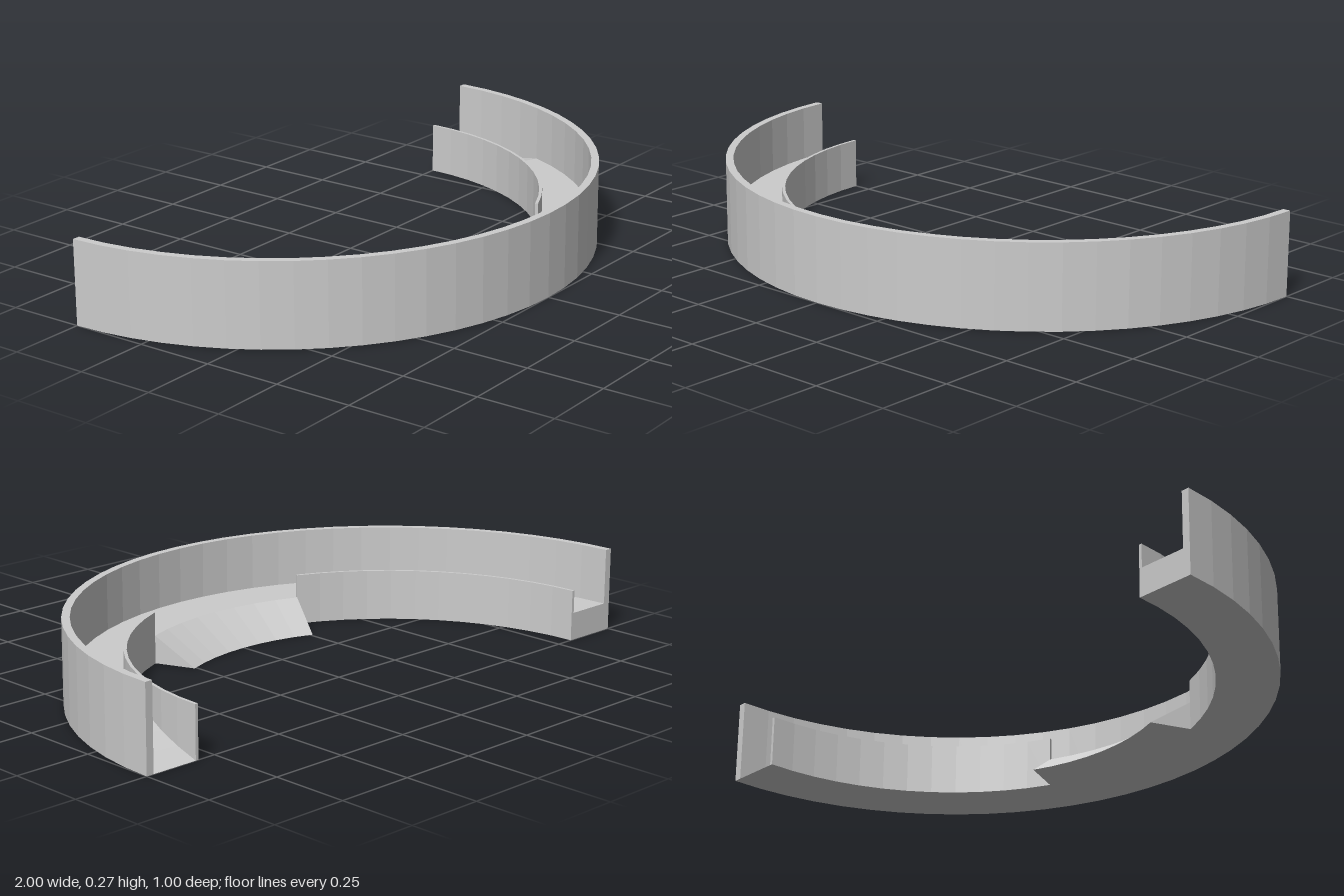
import * as THREE from 'three';

const STEP = Math.PI / 32; // facet angle of the half ring
const FLOOR = 0.09;

// Sweeps a convex section of [radius, y] points (counter-clockwise) around the
// ring from facet i0 to facet i1 and closes both ends. Facet 0 is the +x end.
function sweep(name, i0, i1, section) {
  const pos = [];
  const ring = (i) => section(i).map(([r, y]) =>
    [r * Math.cos(i * STEP), y, r * Math.sin(i * STEP) - 0.5]);
  const tri = (a, b, c) => pos.push(...a, ...b, ...c);

  for (let i = i0; i < i1; i++) {
    const a = ring(i), b = ring(i + 1), n = a.length;
    for (let k = 0; k < n; k++) {
      const m = (k + 1) % n;
      tri(a[k], a[m], b[m]);
      tri(a[k], b[m], b[k]);
    }
  }
  const s = ring(i0), e = ring(i1);
  for (let k = 1; k < s.length - 1; k++) {
    tri(s[0], s[k + 1], s[k]);
    tri(e[0], e[k], e[k + 1]);
  }

  const geo = new THREE.BufferGeometry();
  geo.setAttribute('position', new THREE.Float32BufferAttribute(pos, 3));
  geo.computeVertexNormals();
  const mesh = new THREE.Mesh(geo,
    new THREE.MeshStandardMaterial({ color: 0xcccccc, flatShading: true }));
  mesh.name = name;
  return mesh;
}

// Rectangular section
const rect = (r0, r1, h) => [[r0, 0], [r1, 0], [r1, h], [r0, h]];

export function createModel() {
  const model = new THREE.Group();
  model.name = 'curvedTrough';

  // Tall outer wall
  model.add(sweep('outerWall', 0, 32, () => rect(0.975, 1, 0.27)));

  // Channel floor, ramping down to the ground at the +x end
  model.add(sweep('entryRamp', 0, 4, (i) => rect(0.82, 0.975, FLOOR * i / 4)));
  model.add(sweep('floor', 4, 32, () => rect(0.82, 0.975, FLOOR)));

  // Low inner wall, open in the middle of the front
  model.add(sweep('innerWallLeft', 0, 12, () => rect(0.81, 0.82, 0.165)));
  model.add(sweep('innerWallRight', 20, 32, () => rect(0.81, 0.82, 0.165)));

  // Wedge sloping inward through the opening
  model.add(sweep('spillRamp', 12, 20, () =>
    [[0.675, 0], [0.82, 0], [0.82, FLOOR], [0.81, FLOOR]]));

  return model;
}
